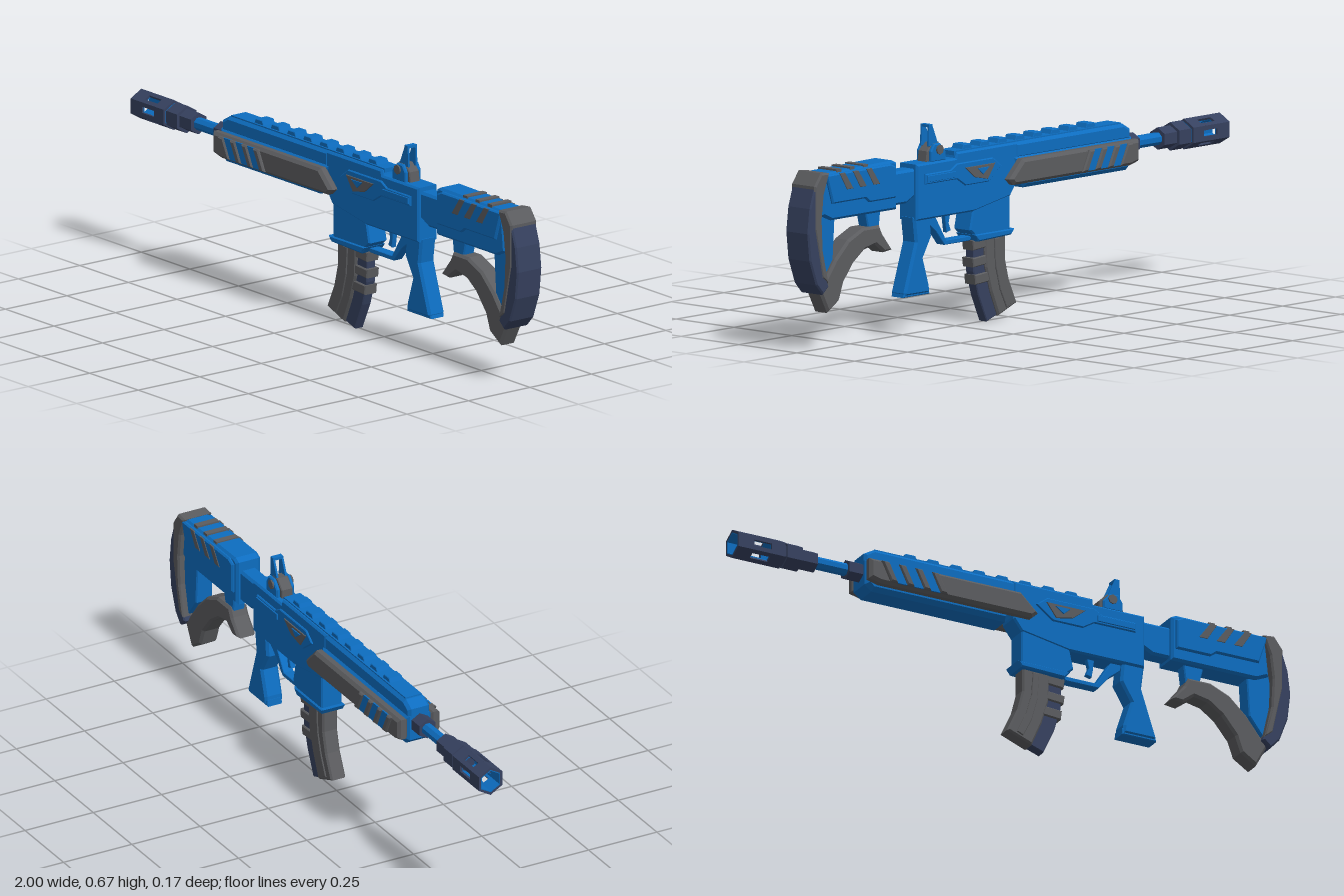
import * as THREE from 'three';

const mat = (name, color) => Object.assign(new THREE.MeshStandardMaterial({ color }), { name });

export function createModel() {
  const blue = mat('bright blue', 0x0d6dc0);
  const grey = mat('mid grey', 0x5b5c5f);
  const navy = mat('dark navy', 0x36415f);
  const model = new THREE.Group();
  const AXIS = 0.495; // barrel height

  const add = (name, geo, material, parent = model) => {
    const m = new THREE.Mesh(geo, material);
    m.name = name;
    parent.add(m);
    return m;
  };
  // side profiles are drawn in hundredths of a unit
  const outline = (pts, Type = THREE.Shape) => new Type(pts.map(([x, y]) => new THREE.Vector2(x / 100, y / 100)));
  // bevelled slab spanning z0..z1
  const slab = (pts, z0, z1, bevel = 0.006, holes = []) => {
    const s = outline(pts);
    s.holes = holes.map((h) => outline(h, THREE.Path));
    const b = Math.min(bevel, (z1 - z0) / 2.5);
    const g = new THREE.ExtrudeGeometry(s, {
      depth: z1 - z0 - 2 * b, bevelEnabled: b > 0, bevelSize: b, bevelThickness: b,
      bevelOffset: -b, bevelSegments: 1, curveSegments: 8,
    });
    return g.translate(0, 0, z0 + b);
  };
  const center = (name, pts, hw, material, bevel, holes) => add(name, slab(pts, -hw, hw, bevel, holes), material);
  const sides = (name, pts, z0, z1, material, bevel, holes) => {
    add(name + 'Left', slab(pts, z0, z1, bevel, holes), material);
    add(name + 'Right', slab(pts, -z1, -z0, bevel, holes), material);
  };
  const box = (name, x0, x1, y0, y1, hw, material) =>
    add(name, new THREE.BoxGeometry(x1 - x0, y1 - y0, hw * 2).translate((x0 + x1) / 2, (y0 + y1) / 2, 0), material);
  // prism along x with a corner pointing up
  const rod = (name, x0, x1, r0, r1, material, n = 6) => {
    const g = new THREE.CylinderGeometry(r0, r1, x1 - x0, n).toNonIndexed();
    g.rotateY(n === 6 ? Math.PI / 6 : Math.PI / 8).rotateZ(Math.PI / 2).translate((x0 + x1) / 2, AXIS, 0);
    g.computeVertexNormals();
    return add(name, g, material);
  };

  // slotted hollow muzzle: six walls with a blue lining
  const muzzle = new THREE.Group();
  muzzle.name = 'muzzle';
  muzzle.position.y = AXIS;
  model.add(muzzle);
  const slot = [[[-94.3, -1], [-87.9, -1], [-87.9, 1], [-94.3, 1]]];
  const wall = (w) => [[-100, -w], [-83, -w], [-83, w], [-100, w]];
  for (let i = 0; i < 6; i++) {
    const a = (i * Math.PI) / 3;
    add('muzzleWall', slab(wall(2.48), 0.035, 0.043, 0, slot), navy, muzzle).rotation.x = a;
    add('muzzleLining', slab(wall(1.95), 0.032, 0.035, 0, slot), blue, muzzle).rotation.x = a;
  }
  rod('muzzleBack', -0.84, -0.815, 0.038, 0.038, navy);
  rod('muzzleCollar', -0.82, -0.765, 0.046, 0.046, navy);
  rod('muzzleNeck', -0.765, -0.705, 0.036, 0.036, navy);
  rod('barrel', -0.71, -0.5, 0.021, 0.021, blue, 8);
  rod('barrelCollar', -0.59, -0.535, 0.034, 0.034, navy);

  // handguard: broad lower body, narrow slotted upper body
  center('handguardLower', [[-54, 44], [-51.5, 42], [-3, 42], [0, 45], [2, 52.5], [-54, 52.5]], 0.05, blue, 0.014);
  center('handguardUpper', [[-54, 51.5], [1, 51.5], [1, 57], [-50.5, 57], [-54, 55]], 0.04, blue, 0.01, [
    [[-49, 52.7], [-35, 52.7], [-38, 55], [-48, 55]],
    [[-33, 52.7], [-22, 52.7], [-24, 55], [-31, 55]],
  ]);

  // grey side panels with slanted ribs and blue stripes
  sides('sidePanel', [[-54, 45], [-50, 44], [5, 44], [7.2, 46], [1, 52], [-54, 52]], 0.04, 0.078, grey, 0.01);
  for (let i = 0; i < 4; i++) {
    const x = -50 + i * 6;
    const slash = (x0, w) => [[x0, 51.4], [x0 + w, 51.4], [x0 + w + 3.2, 44.8], [x0 + 3.2, 44.8]];
    sides('panelRib', slash(x, 2.6), 0.07, 0.087, grey, 0.005);
    if (i < 3) sides('panelStripe', slash(x + 2.6, 3.4), 0.076, 0.081, blue, 0);
  }

  // top rail
  box('rail', -0.5, 0.29, 0.56, 0.574, 0.03, blue);
  for (let i = 0; i < 8; i++) {
    const x = -39 + i * 8.35;
    center('railTooth', [[x, 57], [x + 5, 57], [x + 4.2, 58.8], [x + 0.8, 58.8]], 0.024, blue, 0.002);
  }

  // rear sight with an open window
  center('sightBase', [[32, 55], [41, 55], [40.5, 58.5], [38, 61], [35, 61], [32, 58]], 0.02, grey, 0.003);
  sides('sightCheek', [[33, 55], [40, 55], [40, 58.5], [38.5, 60.8], [35.5, 60.8], [33, 58]], 0.019, 0.033, blue, 0.004);
  for (const s of [-1, 1]) {
    const g = new THREE.CylinderGeometry(0.016, 0.016, 0.008, 8).rotateX(Math.PI / 2).translate(0.362, 0.588, s * 0.034);
    add('sightKnob', g, grey);
  }
  sides('sightPost', [[35, 60], [39.8, 60], [39.5, 67], [38, 67]], 0.012, 0.019, blue, 0.001);
  box('sightTop', 0.377, 0.395, 0.661, 0.67, 0.018, blue);

  // receiver, magazine well and raised side details
  center('receiver', [[0, 57], [28.5, 57], [29, 55.2], [47.5, 55.2], [47.5, 37], [20, 37], [3, 40], [0, 44]], 0.04, blue, 0.006);
  center('magazineWell', [[3, 42], [3, 29], [18.5, 28], [22, 31], [20, 40]], 0.037, blue, 0.005);
  center('magazineWellLip', [[1.5, 29.4], [2.8, 27.5], [18.5, 27], [20.5, 29.4]], 0.043, blue, 0.005);
  sides('receiverRidge', [[8, 50.5], [12, 53.5], [29, 53.5], [32, 51.8], [44, 51.8], [44, 48.5], [29, 48.5], [25, 46], [14, 46]],
    0.035, 0.046, blue, 0.003);
  sides('portCover', [[11.5, 51.8], [25.5, 51.8], [21, 48.2], [15, 47]], 0.045, 0.05, grey, 0.001);
  sides('portBlock', [[14.5, 51], [20, 51], [17.5, 48.8]], 0.049, 0.053, blue, 0.001);
  sides('receiverBar', [[30, 51.2], [43.5, 51.2], [43.5, 49.2], [30, 49.2]], 0.045, 0.05, blue, 0.001);

  // trigger, guard and grip
  center('triggerGuard', [[19, 28.8], [20, 27.3], [32, 27.3], [36, 32], [41, 36], [41, 38], [37, 38], [31.2, 28.8]], 0.018, blue, 0.002);
  center('trigger', [[28, 38], [31, 38], [30.5, 34], [30, 31], [28, 31.5], [29, 34]], 0.009, blue, 0.002);
  center('grip', [[40, 38], [48, 38], [47, 30], [52.3, 14], [52, 13], [40.3, 13], [40.5, 16], [43.2, 24.5], [39.3, 31]], 0.032, blue, 0.008);
  center('gripCap', [[40.2, 14.8], [52, 14.8], [52.5, 12.6], [40, 12.6]], 0.027, blue, 0.003);

  // curved magazine: navy core, grey forward shell and rear bands
  center('magazineCore', [[4, 30], [18.5, 30], [18.3, 17], [16, 9], [12, 0.2], [4.5, 2.8], [8, 12], [9, 20]], 0.018, navy, 0.003);
  center('magazineShell', [[4, 30], [14, 30], [13.4, 18], [11, 10], [7.4, 1.6], [-1.5, 5], [2.2, 13], [4, 20]], 0.027, grey, 0.006);
  sides('magazineRidge', [[7.5, 27], [9.8, 27], [9.2, 18], [7, 10], [4, 4], [1.8, 5], [5, 12], [7, 19]], 0.025, 0.031, grey, 0.002);
  [[24, 27.2, 0], [18.5, 21.5, 0], [12.8, 16, -1]].forEach(([y0, y1, dx]) =>
    center('magazineBand', [[11 + dx, y0 + 0.6], [19 + dx, y0], [19.4 + dx, y1], [11 + dx, y1 + 0.6]], 0.025, grey, 0.003));

  // stock tube and body
  center('stockTube', [[47, 53.8], [58, 53.8], [58, 43], [51, 43], [47, 45]], 0.03, blue, 0.008);
  center('stockBody', [[57, 57], [59, 58], [91, 57.5], [92.5, 44], [88, 42], [57, 42]], 0.044, blue, 0.008);
  sides('cheekPanel', [[58.5, 56], [61, 57.2], [91.5, 57], [88.5, 47.5], [73, 47.5], [71, 46], [58.5, 46]], 0.038, 0.053, blue, 0.005);
  for (let i = 0; i < 3; i++) {
    const x = 66.5 + i * 6.3;
    sides('stockSlash', [[x, 51.5], [x + 3, 51.5], [x + 6.5, 57], [x + 4, 57]], 0.05, 0.055, grey, 0.001);
    box('stockTopRib', x / 100 + 0.042, x / 100 + 0.064, 0.57, 0.582, 0.04, grey);
  }

  // curved butt: blue web, grey inner strip and navy pad
  center('stockWeb', [[85, 44], [93, 45], [94.5, 36], [91.5, 22], [86, 29]], 0.03, blue, 0.004);
  center('stockFrontWeb', [[62.5, 43], [70, 43], [68.5, 37], [63.5, 35.5]], 0.022, blue, 0.004);
  center('buttStrip', [[90, 57.6], [94, 58], [97, 54], [97, 40], [93.5, 24], [90.5, 22], [93, 33], [93.5, 43], [92.5, 51]],
    0.053, grey, 0.006);
  center('buttPad', [[94.5, 54.5], [96.5, 54.5], [99, 47], [100, 39], [99, 30], [96, 22], [92.8, 18.5], [90, 21], [93, 28], [94.5, 36], [95, 46]],
    0.05, navy, 0.005);

  // grey curved lower strut
  center('stockStrut', [[58, 29], [62.5, 34.5], [64, 37.5], [72, 37.5], [79, 34.5], [85, 29], [92.5, 19.5], [88.5, 12], [83, 15.5],
    [81, 21], [76, 27], [71, 30.5], [66, 31.5], [62, 28.5]], 0.033, grey, 0.008);

  return model;
}
